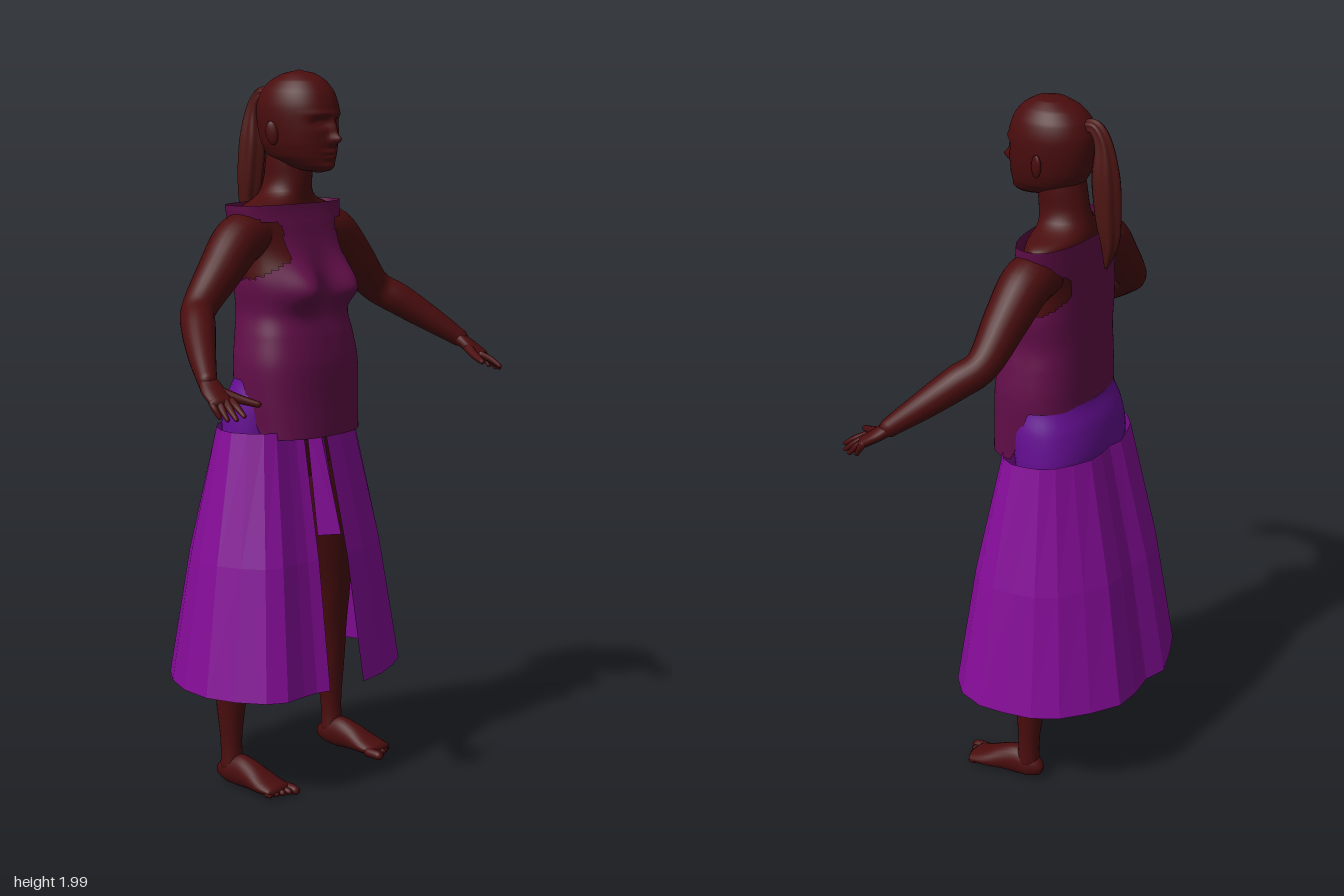
import * as THREE from 'three';

const mat = (name, color, extra = {}) => Object.assign(new THREE.MeshStandardMaterial({ color, ...extra }), { name });

// Catmull-Rom lookup in rows of numbers whose first entry is the key
function at(rows, key) {
  let k = 0;
  while (k < rows.length - 2 && key > rows[k + 1][0]) k++;
  const p = rows[Math.max(k - 1, 0)], a = rows[k], b = rows[k + 1], q = rows[Math.min(k + 2, rows.length - 1)];
  const u = THREE.MathUtils.clamp((key - a[0]) / (b[0] - a[0]), 0, 1);
  return a.slice(1).map((v, i) => {
    const w = b[i + 1], m0 = (w - p[i + 1]) / 2, m1 = (q[i + 1] - v) / 2;
    return v * (2 * u ** 3 - 3 * u * u + 1) + m0 * (u ** 3 - 2 * u * u + u) + w * (3 * u * u - 2 * u ** 3) + m1 * (u ** 3 - u * u);
  });
}

// Skin over closed rings of points; keep(point) may leave holes
function surface(name, rings, material, { closed = true, keep } = {}) {
  const n = rings[0].length, pos = [], idx = [];
  rings.forEach(r => r.forEach(p => pos.push(p.x, p.y, p.z)));
  for (let j = 0; j < rings.length - 1; j++) {
    for (let i = 0; i < (closed ? n : n - 1); i++) {
      const i2 = (i + 1) % n, a = j * n + i, b = j * n + i2, c = a + n, d = b + n;
      if (keep && !keep(rings[j][i].clone().add(rings[j + 1][i2]).multiplyScalar(0.5))) continue;
      idx.push(a, c, b, b, c, d);
    }
  }
  const g = new THREE.BufferGeometry();
  g.setAttribute('position', new THREE.Float32BufferAttribute(pos, 3));
  g.setIndex(idx);
  g.computeVertexNormals();
  const m = new THREE.Mesh(g, material);
  m.name = name;
  return m;
}

const around = (n, f) => Array.from({ length: n }, (_, i) => f((i / n) * Math.PI * 2));

// Horizontal superellipse point from [halfWidth, backZ, frontZ]
function slice([rx, zb, zf], y, a, pow = 2) {
  const c = Math.cos(a), s = Math.sin(a), e = 2 / pow;
  return new THREE.Vector3(rx * Math.sign(c) * Math.abs(c) ** e, y,
    (zb + zf) / 2 + (zf - zb) / 2 * Math.sign(s) * Math.abs(s) ** e);
}

// Vertical body built from rows [y, halfWidth, backZ, frontZ]
function stack(name, rows, material, { n = 40, steps = 32, pow = 2, shape = p => p } = {}) {
  const y0 = rows[0][0], y1 = rows[rows.length - 1][0], rings = [];
  for (let j = 0; j <= steps; j++) {
    const y = y0 + (y1 - y0) * (1 - Math.cos(Math.PI * j / steps)) / 2;
    rings.push(around(n, a => shape(slice(at(rows, y), y, a, pow))));
  }
  return surface(name, rings, material);
}

// Tapered limb through points [x, y, z, radiusU, radiusV] with rounded ends
function limb(name, pts, material, { side = 1, ref = [0, 0, 1], n = 18, sub = 6, ripple = 0 } = {}) {
  const rows = pts.map((p, i) => [i, p[0] * side, p[1], p[2], p[3], p[4] ?? p[3]]);
  const up = new THREE.Vector3(...ref), end = pts.length - 1, rings = [];
  const spot = t => new THREE.Vector3(...at(rows, t).slice(0, 3));
  for (let j = 0; j <= end * sub; j++) {
    const t = j / sub, [x, y, z, ra, rb] = at(rows, t);
    const T = spot(Math.min(t + 0.05, end)).sub(spot(Math.max(t - 0.05, 0))).normalize();
    const U = T.clone().cross(up).normalize(), V = U.clone().cross(T);
    const c = new THREE.Vector3(x, y, z);
    const ring = (k, push) => around(n, a => {
      const w = k * (1 + ripple * Math.cos(6 * a));
      return c.clone().addScaledVector(U, ra * w * Math.cos(a)).addScaledVector(V, rb * w * Math.sin(a)).addScaledVector(T, push * Math.min(ra, rb));
    });
    if (j === 0) rings.push(ring(0.001, -0.7), ring(0.7, -0.5));
    rings.push(ring(1, 0));
    if (j === end * sub) rings.push(ring(0.7, 0.5), ring(0.001, 0.7));
  }
  return surface(name, rings, material);
}

const bump = (p, x, y, sx, sy) => Math.exp(-(((p.x - x) / sx) ** 2) - ((p.y - y) / sy) ** 2);

// Torso profile shared by the body and the sleeveless top
const TORSO = [
  [1.0, 0.185, -0.12, 0.152], [1.1, 0.193, -0.13, 0.146], [1.2, 0.197, -0.13, 0.14], [1.28, 0.186, -0.13, 0.125],
  [1.34, 0.176, -0.13, 0.108], [1.42, 0.185, -0.13, 0.1], [1.5, 0.183, -0.13, 0.082], [1.58, 0.2, -0.13, 0.06],
  [1.637, 0.213, -0.126, 0.045]];
function torsoPoint(y, a, inset) {
  const [rx, zb, zf] = at(TORSO, y);
  const p = slice([rx - inset, zb + inset, zf - inset], y, a, 2.5);
  if (p.z > 0) {
    for (const s of [-1, 1]) p.z += 0.056 * bump(p, s * 0.092, 1.405, 0.062, p.y < 1.405 ? 0.048 : 0.075);
  }
  return p;
}

export function createModel() {
  const skin = mat('skin', 0x4a0d0e);
  const hair = mat('hair', 0x4c1512);
  const cloth = mat('top cloth', 0x620e49, { side: THREE.DoubleSide });
  const band = mat('waistband cloth', 0x650e92, { side: THREE.DoubleSide });
  const skirtCloth = mat('skirt cloth', 0x850c98, { side: THREE.DoubleSide, flatShading: true });
  const model = new THREE.Group();
  model.name = 'woman in skirt';
  const add = (...parts) => model.add(...parts);

  // Head with sculpted face
  const face = p => {
    if (p.z < 0.06) return p;
    p.z += 0.026 * bump(p, 0, 1.812, 0.015, 0.014) + 0.014 * bump(p, 0, 1.84, 0.011, 0.03);
    p.z += 0.009 * bump(p, 0, 1.779, 0.024, 0.007) + 0.008 * bump(p, 0, 1.764, 0.02, 0.006);
    p.z += 0.008 * bump(p, 0, 1.738, 0.03, 0.014);
    for (const s of [-1, 1]) {
      p.z -= 0.016 * bump(p, s * 0.036, 1.859, 0.02, 0.013);
      p.z += 0.006 * bump(p, s * 0.036, 1.857, 0.011, 0.006) + 0.005 * bump(p, s * 0.036, 1.882, 0.03, 0.008);
    }
    return p;
  };
  add(stack('head', [
    [1.722, 0.004, 0.075, 0.09], [1.728, 0.03, 0.03, 0.116], [1.74, 0.053, -0.02, 0.126], [1.765, 0.075, -0.075, 0.131],
    [1.8, 0.089, -0.098, 0.134], [1.85, 0.097, -0.11, 0.136], [1.9, 0.098, -0.112, 0.134], [1.94, 0.088, -0.098, 0.12],
    [1.97, 0.067, -0.07, 0.096], [1.99, 0.04, -0.03, 0.062], [2.0, 0.002, 0.014, 0.018]], skin,
    { n: 88, steps: 90, shape: face }));
  for (const s of [-1, 1]) {
    const ear = new THREE.Mesh(new THREE.SphereGeometry(1, 14, 10), skin);
    ear.name = 'ear';
    ear.scale.set(0.009, 0.033, 0.018);
    ear.position.set(s * 0.099, 1.83, 0.002);
    ear.rotation.set(-0.15, s * -0.35, s * -0.12);
    add(ear);
  }

  // Ponytail
  add(limb('ponytail', [
    [0, 1.925, -0.085, 0.018], [0, 1.93, -0.12, 0.02], [0, 1.885, -0.145, 0.026, 0.024], [0, 1.8, -0.152, 0.04, 0.034],
    [0, 1.7, -0.16, 0.037, 0.034], [0, 1.62, -0.166, 0.026, 0.024], [0, 1.545, -0.155, 0.004]], hair,
    { ref: [1, 0, 0], n: 30, ripple: 0.1 }));

  // Neck sloping into the shoulders
  add(stack('neck', [
    [1.6, 0.185, -0.115, 0.045], [1.63, 0.165, -0.112, 0.042], [1.65, 0.105, -0.108, 0.04], [1.67, 0.073, -0.103, 0.043],
    [1.7, 0.062, -0.096, 0.047], [1.75, 0.062, -0.088, 0.05], [1.8, 0.06, -0.08, 0.05]], skin));

  // Torso under the clothes
  const body = [];
  for (let j = 0; j <= 40; j++) body.push(around(56, a => torsoPoint(1.01 + 0.615 * j / 40, a, 0.014)));
  add(surface('torso', body, skin));
  add(stack('hips', [[0.84, 0.02, -0.06, 0], [0.88, 0.15, -0.13, 0.06], [0.96, 0.185, -0.14, 0.085], [1.04, 0.175, -0.12, 0.09]], skin));

  // Sleeveless top: long in front, cropped behind, with armholes
  const rings = [];
  for (let j = 0; j <= 70; j++) {
    rings.push(around(120, a => {
      const hem = 1.0 + 0.158 * THREE.MathUtils.smoothstep(-Math.sin(a), -0.12, 0.2);
      return torsoPoint(hem + (1.637 - hem) * j / 70, a, 0);
    }));
  }
  const armhole = p => Math.abs(p.x) > 0.115 && ((p.y - 1.52) / 0.082) ** 2 + ((p.z + 0.015) / 0.105) ** 2 < 1;
  add(surface('sleeveless top', rings, cloth, { keep: p => !armhole(p) }));

  // Waistband showing behind and at the sides
  add(stack('waistband', [[0.98, 0.208, -0.165, 0.07], [1.03, 0.207, -0.168, 0.08], [1.1, 0.2, -0.156, 0.09], [1.165, 0.182, -0.133, 0.09]],
    band, { pow: 2.3 }));

  // Flared skirt, open at the front, from its hem outline [x, z]
  const hem = [
    [0.02, 0.235], [0.12, 0.225], [0.2, 0.2], [0.28, 0.165], [0.34, 0.11], [0.37, 0.03], [0.365, -0.05], [0.35, -0.13],
    [0.31, -0.2], [0.24, -0.26], [0.16, -0.31], [0.08, -0.315], [0, -0.305], [-0.07, -0.325], [-0.17, -0.29],
    [-0.25, -0.255], [-0.31, -0.19], [-0.36, -0.1], [-0.38, 0], [-0.36, 0.09], [-0.32, 0.165], [-0.27, 0.2],
    [-0.2, 0.2], [-0.15, 0.205], [-0.11, 0.22]].reverse();
  const skirtRows = [[0.3, 1, 1], [0.66, 0.85, 0.79], [1.02, 0.65, 0.5]];
  add(surface('skirt', skirtRows.map(([y, kx, kz]) => hem.map(([x, z]) => new THREE.Vector3(x * kx, y, -0.04 + (z + 0.04) * kz))),
    skirtCloth, { closed: false }));

  // Short folded flap over the front opening
  const fold = (y, pts) => pts.map(([x, z]) => new THREE.Vector3(x, y, z));
  add(surface('front flap', [
    fold(0.725, [[-0.075, 0.145], [-0.02, 0.185], [0.015, 0.15]]),
    fold(1.02, [[-0.05, 0.085], [-0.018, 0.105], [0.012, 0.09]])], skirtCloth, { closed: false }));

  for (const side of [-1, 1]) {
    // Arm
    add(limb('arm', [
      [0.13, 1.555, -0.035, 0.068], [0.205, 1.54, -0.03, 0.07], [0.29, 1.465, -0.022, 0.061], [0.385, 1.375, -0.012, 0.047],
      [0.44, 1.332, 0.035, 0.046], [0.505, 1.272, 0.105, 0.037], [0.562, 1.214, 0.175, 0.025]], skin, { side, n: 24 }));
    // Hand and fingers
    const hand = new THREE.Group();
    hand.name = 'hand';
    hand.add(limb('palm', [[0.555, 1.22, 0.168, 0.024, 0.02], [0.568, 1.195, 0.2, 0.034, 0.018], [0.578, 1.168, 0.24, 0.034, 0.015]],
      skin, { side, ref: [0, 1, 0] }));
    [[0.572, 1.142, 0.308], [0.588, 1.134, 0.296], [0.598, 1.132, 0.275], [0.6, 1.136, 0.25]].forEach(([x, y, z], i) => {
      const bx = 0.555 + i * 0.015, bz = 0.25 - i * 0.009;
      hand.add(limb('finger', [[bx, 1.175, bz, 0.01], [(bx + x) / 2 + 0.003, (1.18 + y) / 2, (bz + z) / 2, 0.009], [x, y, z, 0.006]],
        skin, { side, ref: [0, 1, 0], n: 10, sub: 4 }));
    });
    hand.add(limb('thumb', [[0.555, 1.195, 0.2, 0.015], [0.525, 1.175, 0.25, 0.012], [0.5, 1.162, 0.295, 0.008]],
      skin, { side, ref: [0, 1, 0], n: 10 }));
    add(hand);
    // Leg
    add(limb('leg', [
      [0.1, 0.98, -0.035, 0.085], [0.125, 0.82, -0.025, 0.09], [0.165, 0.65, -0.015, 0.074], [0.193, 0.52, -0.018, 0.056],
      [0.212, 0.4, -0.043, 0.054], [0.221, 0.28, -0.048, 0.046], [0.226, 0.14, -0.045, 0.031], [0.226, 0.06, -0.042, 0.033]],
      skin, { side, n: 24 }));
    // Foot and toes
    const foot = new THREE.Group();
    foot.name = 'foot';
    foot.add(limb('sole', [
      [0.226, 0.042, -0.075, 0.022, 0.026], [0.226, 0.047, -0.05, 0.033, 0.038], [0.226, 0.052, -0.01, 0.035, 0.046],
      [0.228, 0.046, 0.035, 0.04, 0.039], [0.23, 0.033, 0.09, 0.049, 0.025], [0.23, 0.026, 0.135, 0.047, 0.015]],
      skin, { side, ref: [0, 1, 0], n: 24 }));
    for (let i = 0; i < 5; i++) {
      const x = 0.192 + i * 0.019, r = i ? 0.01 : 0.014, z = 0.166 - i * 0.008;
      foot.add(limb('toe', [[x, 0.024, 0.12, r], [x, 0.022, z - 0.012, r], [x, 0.02, z, r * 0.85]],
        skin, { side, ref: [0, 1, 0], n: 10, sub: 3 }));
    }
    add(foot);
  }
  return model;
}
